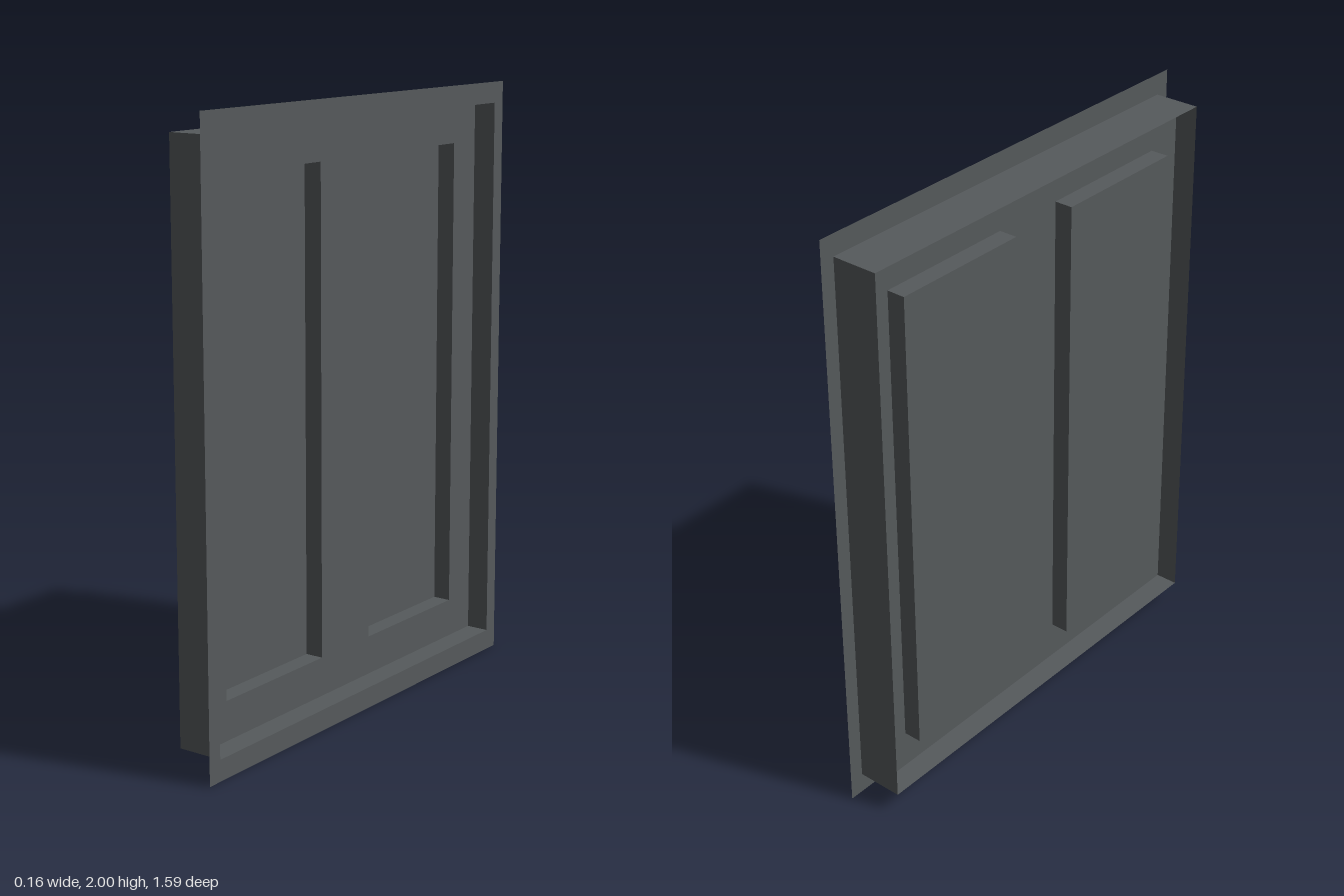
import * as THREE from 'three';
import { mergeGeometries } from 'three/addons/utils/BufferGeometryUtils.js';

const FRONT = 0.078;   // x of the flange
const SHEET = 0;       // x of the main sheet
const PAN = -0.062;    // x of the pressed panels
const BACK = -0.078;   // x of the rear edge of the frame

// Rectangles as [z centre, y centre, width, height]
const outer = [0, 1, 1.59, 2];
const opening = [0, 1, 1.49, 1.86];
const panels = [0.374, -0.374].map((z) => [z, 1, 0.488, 1.6]);

function trace(path, [z, y, w, h]) {
  const a = -z; // the shape's x axis becomes -z once turned
  path.moveTo(a - w / 2, y - h / 2);
  path.lineTo(a + w / 2, y - h / 2);
  path.lineTo(a + w / 2, y + h / 2);
  path.lineTo(a - w / 2, y + h / 2);
  path.closePath();
  return path;
}

// Flat sheet facing +x, with rectangular holes
function sheet(rect, x, holes = []) {
  const shape = trace(new THREE.Shape(), rect);
  holes.forEach((hole) => shape.holes.push(trace(new THREE.Path(), hole)));
  return new THREE.ShapeGeometry(shape).rotateY(Math.PI / 2).translate(x, 0, 0);
}

// Four thin walls around a rectangle, from x0 to x1
function sleeve([z, y, w, h], x0, x1) {
  const depth = x1 - x0;
  const walls = [];
  for (const s of [1, -1]) {
    walls.push(new THREE.PlaneGeometry(depth, h).rotateY(s > 0 ? 0 : Math.PI).translate(0, 0, s * w / 2));
    walls.push(new THREE.PlaneGeometry(depth, w).rotateX(-s * Math.PI / 2).translate(0, s * h / 2, 0));
  }
  return mergeGeometries(walls).translate((x0 + x1) / 2, y, z);
}

export function createModel() {
  const group = new THREE.Group();
  const steel = new THREE.MeshStandardMaterial({ color: 0x565a5c, side: THREE.DoubleSide });
  steel.name = 'dark grey metal';

  const add = (name, geometry) => {
    const mesh = new THREE.Mesh(geometry, steel);
    mesh.name = name;
    group.add(mesh);
  };

  // Surrounding flange, frame and the sheet halfway through it
  add('flange', sheet(outer, FRONT, [opening]));
  add('frame', sleeve(opening, BACK, FRONT));
  add('mainSheet', sheet(opening, SHEET, panels));

  // Two pressed panels, recessed on one side and raised on the other
  panels.forEach((panel, i) => {
    const side = i === 0 ? 'front' : 'rear';
    add(`${side}PanelWalls`, sleeve(panel, PAN, SHEET));
    add(`${side}PanelFace`, sheet(panel, PAN));
  });
  return group;
}
